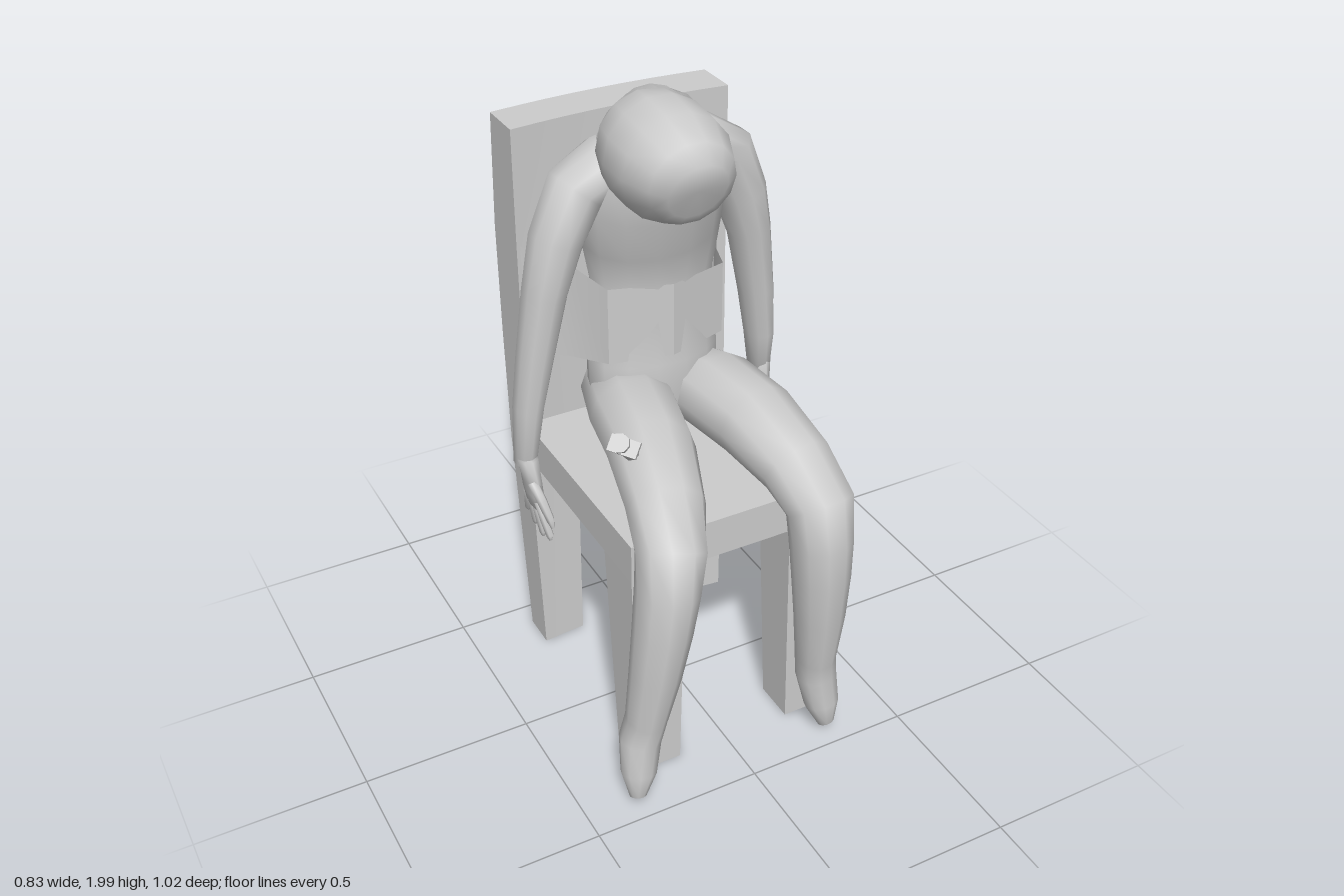
import * as THREE from 'three';
import { toCreasedNormals } from 'three/addons/utils/BufferGeometryUtils.js';

const grey = new THREE.MeshStandardMaterial({ color: 0xcccccc });
const thin = new THREE.MeshStandardMaterial({ color: 0xcccccc, side: THREE.DoubleSide });
const X = new THREE.Vector3(1, 0, 0), Z = new THREE.Vector3(0, 0, 1);

function add(parent, name, geo, mat = grey) {
  const m = new THREE.Mesh(geo, mat);
  m.name = name;
  parent.add(m);
  return m;
}

// Closed smooth skin through elliptical sections [x, y, z, radius along axis, radius across it]
function loft(sections, sides = 10, axis = X) {
  const c = sections.map(s => new THREE.Vector3(s[0], s[1], s[2]));
  const n = c.length, pos = [], idx = [];
  for (let i = 0; i < n; i++) {
    const t = c[Math.min(i + 1, n - 1)].clone().sub(c[Math.max(i - 1, 0)]).normalize();
    const side = axis.clone().addScaledVector(t, -t.dot(axis)).normalize();
    const front = t.clone().cross(side);
    for (let j = 0; j < sides; j++) {
      const a = j / sides * Math.PI * 2;
      const p = c[i].clone().addScaledVector(side, sections[i][3] * Math.cos(a))
        .addScaledVector(front, sections[i][4] * Math.sin(a));
      pos.push(p.x, p.y, p.z);
    }
  }
  pos.push(...c[0].toArray(), ...c[n - 1].toArray());
  for (let j = 0; j < sides; j++) {
    const k = (j + 1) % sides, last = (n - 1) * sides;
    for (let i = 0; i < n - 1; i++) {
      const a = i * sides + j, b = i * sides + k;
      idx.push(a, b, a + sides, b, b + sides, a + sides);
    }
    idx.push(n * sides, k, j, n * sides + 1, last + j, last + k);
  }
  const g = new THREE.BufferGeometry();
  g.setAttribute('position', new THREE.Float32BufferAttribute(pos, 3));
  g.setIndex(idx);
  g.computeVertexNormals();
  return g;
}

// Block shaped by rows [y, x0, x1, z0, z1]; bow curves it backwards about the chair's middle
function block(rows, bow = 0, cols = 1) {
  const g = new THREE.BoxGeometry(1, 1, 1, cols, rows.length - 1, 1), p = g.attributes.position;
  for (let i = 0; i < p.count; i++) {
    const r = rows[Math.round((p.getY(i) + 0.5) * (rows.length - 1))];
    const x = THREE.MathUtils.lerp(r[1], r[2], p.getX(i) + 0.5);
    const z = THREE.MathUtils.lerp(r[3], r[4], p.getZ(i) + 0.5);
    p.setXYZ(i, x, r[0], z - bow * (1 - ((x - 0.025) / 0.33) ** 2));
  }
  return toCreasedNormals(g, 0.5);
}

function makeChair() {
  const chair = new THREE.Group();
  chair.name = 'chair';
  add(chair, 'seat', block([
    [0.66, -0.1, 0.15, -0.12, 0.1], [0.7, -0.304, 0.354, -0.34, 0.334], [0.82, -0.304, 0.354, -0.34, 0.334]]));
  add(chair, 'backrest', block([
    [0.7, -0.305, 0.355, -0.465, -0.332], [1.06, -0.305, 0.355, -0.482, -0.334],
    [1.4, -0.305, 0.355, -0.49, -0.338], [1.745, -0.305, 0.355, -0.472, -0.337]], 0.02, 8));
  for (const s of [-1, 1]) {
    const x = (inner, outer) => s < 0 ? [0.025 - outer, 0.025 - inner] : [0.025 + inner, 0.025 + outer];
    add(chair, 'frontLeg', block([
      [0, ...x(0.18, 0.315), 0.205, 0.333], [0.7, ...x(0.165, 0.329), 0.17, 0.333]]));
    add(chair, 'backLeg', block([
      [0, ...x(0.18, 0.315), -0.42, -0.312], [0.7, ...x(0.165, 0.33), -0.465, -0.332]], 0.02, 2));
  }
  return chair;
}

// Hand hanging from a wrist, with spread fingers and a forward thumb
function makeHand(x, y, z, lean) {
  const hand = new THREE.Group();
  hand.name = 'hand';
  hand.position.set(x, y, z);
  add(hand, 'palm', loft([[0, 0.03, 0, 0.03, 0.04], [0.3 * lean, -0.04, 0, 0.025, 0.048],
    [0.5 * lean, -0.09, -0.004, 0.022, 0.056], [0.6 * lean, -0.14, -0.006, 0.014, 0.048]], 8));
  for (let i = 0; i < 4; i++) {
    const f = i - 1.5, len = 0.102 - 0.018 * Math.abs(f - 0.3);
    add(hand, 'finger', loft([
      [0.5 * lean, -0.11, f * 0.025 - 0.006, 0.014, 0.014],
      [0.75 * lean, -0.13 - len * 0.45, f * 0.037 - 0.006, 0.013, 0.013],
      [lean, -0.14 - len * 0.9, f * 0.05 - 0.006, 0.011, 0.011],
      [lean, -0.145 - len, f * 0.052 - 0.006, 0.005, 0.005]], 6));
  }
  add(hand, 'thumb', loft([[0, -0.04, 0.03, 0.016, 0.016], [0.4 * lean, -0.09, 0.065, 0.015, 0.015],
    [0.8 * lean, -0.14, 0.09, 0.012, 0.012], [0.9 * lean, -0.165, 0.098, 0.005, 0.005]], 6));
  return hand;
}

function makeFigure() {
  const fig = new THREE.Group();
  fig.name = 'seatedFigure';
  // Slumped trunk running on through the neck into the head, which hangs forward
  add(fig, 'torsoAndHead', loft([
    [0.04, 0.84, -0.2, 0.15, 0.09], [0.04, 0.93, -0.2, 0.2, 0.14], [0.043, 1.06, -0.21, 0.2, 0.13],
    [0.045, 1.3, -0.215, 0.185, 0.125], [0.035, 1.45, -0.2, 0.205, 0.155], [0.02, 1.59, -0.16, 0.215, 0.158],
    [0.012, 1.7, -0.125, 0.185, 0.148], [-0.01, 1.785, -0.09, 0.135, 0.12], [-0.04, 1.835, -0.045, 0.095, 0.085],
    [-0.075, 1.86, 0.018, 0.09, 0.085], [-0.1, 1.838, 0.05, 0.115, 0.128], [-0.12, 1.838, 0.11, 0.14, 0.146],
    [-0.13, 1.842, 0.18, 0.15, 0.152], [-0.132, 1.84, 0.27, 0.148, 0.142],
    [-0.135, 1.835, 0.35, 0.115, 0.11], [-0.135, 1.825, 0.377, 0.08, 0.08]], 14));

  // Shoulders and arms in one sweep, from one wrist to the other
  add(fig, 'shouldersAndArms', loft([
    [-0.386, 0.82, -0.165, 0.042, 0.032], [-0.37, 1.0, -0.16, 0.055, 0.043], [-0.345, 1.15, -0.157, 0.06, 0.052],
    [-0.31, 1.35, -0.15, 0.07, 0.062], [-0.27, 1.5, -0.15, 0.08, 0.075], [-0.205, 1.628, -0.157, 0.085, 0.085],
    [-0.12, 1.675, -0.16, 0.095, 0.08], [0.015, 1.7, -0.16, 0.11, 0.08], [0.145, 1.705, -0.15, 0.09, 0.08],
    [0.235, 1.645, -0.145, 0.08, 0.085], [0.285, 1.52, -0.142, 0.077, 0.075], [0.318, 1.4, -0.145, 0.068, 0.062],
    [0.352, 1.2, -0.155, 0.06, 0.052], [0.37, 1.05, -0.16, 0.055, 0.043], [0.376, 0.93, -0.165, 0.042, 0.032]],
  10, Z));
  fig.add(makeHand(0.377, 0.925, -0.16, -0.004), makeHand(-0.387, 0.818, -0.145, 0.028));

  // Thigh, knee, shin and drooping foot: [y, z, width radius, depth radius]
  const legShape = [[0.93, -0.27, 0.11, 0.09], [0.943, -0.07, 0.13, 0.115], [0.942, 0.12, 0.124, 0.112],
    [0.9, 0.31, 0.11, 0.09], [0.83, 0.415, 0.1, 0.09], [0.72, 0.428, 0.09, 0.09], [0.6, 0.43, 0.083, 0.086],
    [0.45, 0.425, 0.073, 0.076], [0.28, 0.408, 0.058, 0.064], [0.2, 0.398, 0.06, 0.062],
    [0.1, 0.42, 0.052, 0.052], [0.03, 0.44, 0.025, 0.022]];
  const legs = {
    leftLeg: [0.13, 0.18, 0.2, 0.218, 0.23, 0.232, 0.237, 0.243, 0.25, 0.262, 0.272, 0.28],
    rightLeg: [-0.04, -0.085, -0.13, -0.188, -0.228, -0.246, -0.262, -0.282, -0.303, -0.318, -0.335, -0.348]
  };
  for (const [name, xs] of Object.entries(legs))
    add(fig, name, loft(legShape.map((s, i) => [xs[i], ...s])));
  return fig;
}

// Wide strap holding the waist to the backrest: [x, z, bottom, top]
function strap() {
  const path = [[-0.3, -0.345, 1.06, 1.4], [-0.2, -0.25, 1.07, 1.37], [-0.135, -0.125, 1.09, 1.325],
    [0.045, -0.078, 1.095, 1.32], [0.225, -0.125, 1.1, 1.32], [0.25, -0.22, 1.08, 1.33], [0.33, -0.345, 1.06, 1.4]];
  const pos = path.flatMap(([x, z, b, t]) => [x, b, z, x, t, z]), idx = [];
  for (let i = 0; i < path.length - 1; i++) {
    const a = i * 2;
    idx.push(a, a + 2, a + 1, a + 1, a + 2, a + 3);
  }
  const g = new THREE.BufferGeometry();
  g.setAttribute('position', new THREE.Float32BufferAttribute(pos, 3));
  g.setIndex(idx);
  return toCreasedNormals(g, 0.4);
}

// Syringe built along +y from the needle tip, then tilted onto the thigh
function makeSyringe() {
  const syringe = new THREE.Group();
  syringe.name = 'syringe';
  const rod = (name, r0, r1, y0, y1, sides = 8) =>
    add(syringe, name, toCreasedNormals(new THREE.CylinderGeometry(r1, r0, y1 - y0, sides), 0.9)).position.y = (y0 + y1) / 2;
  rod('needle', 0.003, 0.004, 0, 0.07, 6);
  rod('hub', 0.008, 0.012, 0.06, 0.08);
  rod('barrel', 0.022, 0.022, 0.08, 0.185);
  rod('plunger', 0.013, 0.013, 0.185, 0.24);
  rod('thumbRest', 0.026, 0.026, 0.235, 0.25);
  add(syringe, 'fingerFlange', new THREE.BoxGeometry(0.08, 0.014, 0.045)).position.y = 0.185;
  syringe.position.set(-0.21, 0.99, 0.185);
  syringe.quaternion.setFromUnitVectors(new THREE.Vector3(0, 1, 0), new THREE.Vector3(-0.12, 0.17, 0.145).normalize());
  syringe.rotateY(-0.9);
  return syringe;
}

export function createModel() {
  const model = new THREE.Group();
  model.name = 'figureOnChair';
  model.add(makeChair(), makeFigure(), makeSyringe());
  add(model, 'waistStrap', strap(), thin);
  return model;
}
